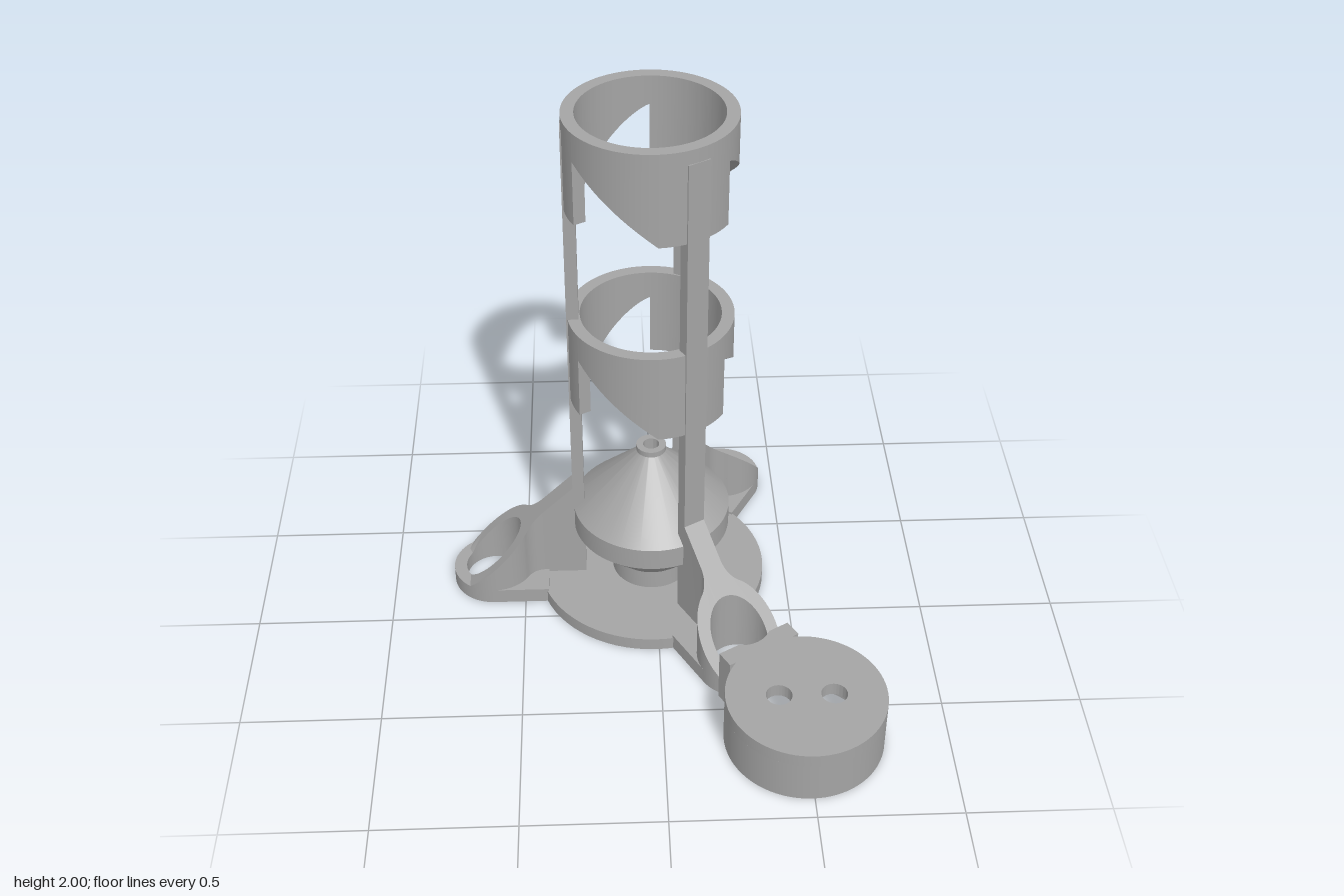
import * as THREE from 'three';
import { toCreasedNormals } from 'three/addons/utils/BufferGeometryUtils.js';

const grey = new THREE.MeshStandardMaterial({ color: 0xa4a4a4 });
grey.name = 'plain grey';
const DEG = Math.PI / 180;

function part(name, geometry) {
  const mesh = new THREE.Mesh(toCreasedNormals(geometry, 0.5), grey);
  mesh.name = name;
  return mesh;
}

function circle(x, y, r) {
  return new THREE.Path().absarc(x, y, r, 0, Math.PI * 2, true);
}

// Extrudes a plan outline straight up from y0 to y1
function slab(shape, y0, y1) {
  const g = new THREE.ExtrudeGeometry(shape, { depth: y1 - y0, bevelEnabled: false, curveSegments: 40 });
  return g.rotateX(-Math.PI / 2).translate(0, y0, 0);
}

function lathe(points) {
  return new THREE.LatheGeometry(points.map(([r, y]) => new THREE.Vector2(r, y)), 72);
}

// Curved wall between two angles, with its lower edge given by a rule
function arcWall(from, to, top, bottomAt) {
  const g = new THREE.BoxGeometry(1, 1, 1, 24, 1, 1);
  const p = g.attributes.position;
  for (let i = 0; i < p.count; i++) {
    const t = p.getX(i) + 0.5;
    const a = (from + (to - from) * t) * DEG;
    const r = p.getZ(i) > 0 ? 0.2925 : 0.248;
    p.setXYZ(i, Math.sin(a) * r, p.getY(i) > 0 ? top : bottomAt(t), Math.cos(a) * r);
  }
  return g;
}

// Collar with three ramped slots cut from below
function collar(name, top) {
  const group = new THREE.Group();
  group.name = name;
  for (const post of [-90, 30, 150]) {
    group.add(part('collarTab', arcWall(post - 27, post + 28.7, top, () => top - 0.34)));
    group.add(part('collarRamp', arcWall(post + 28.7, post + 93, top,
      t => top - 0.105 - 0.235 * Math.pow(t, 1.2))));
  }
  return group;
}

// Leg pointing along local +x: foot plate, sloped socket with rib, tall post
function leg(name) {
  const group = new THREE.Group();
  group.name = name;

  const foot = new THREE.Shape();
  foot.moveTo(0.395, -0.155);
  foot.lineTo(0.605, -0.155);
  foot.absarc(0.605, 0, 0.155, -Math.PI / 2, Math.PI / 2, false);
  foot.lineTo(0.395, 0.155);
  foot.holes.push(circle(0.605, 0, 0.108));
  group.add(part('footPlate', slab(foot, 0, 0.06)));

  const rib = new THREE.Shape();
  rib.moveTo(0.28, -0.042);
  rib.lineTo(0.41, -0.042);
  rib.quadraticCurveTo(0.455, -0.045, 0.478, -0.089);
  rib.absarc(0.605, 0, 0.155, -2.53, 2.53, false);
  rib.quadraticCurveTo(0.455, 0.045, 0.41, 0.042);
  rib.lineTo(0.28, 0.042);
  rib.holes.push(circle(0.605, 0, 0.108));
  const g = slab(rib, 0.01, 1);
  const p = g.attributes.position;
  for (let i = 0; i < p.count; i++) {
    if (p.getY(i) > 0.5) p.setY(i, Math.max(0.02, 0.755 - p.getX(i)));
  }
  group.add(part('slopedSocket', g));

  const post = new THREE.BoxGeometry(0.043, 1.91, 0.084).translate(0.2735, 0.995, 0);
  group.add(part('post', post));
  return group;
}

export function createModel() {
  const model = new THREE.Group();
  model.name = 'model';
  const tower = new THREE.Group();
  tower.name = 'tower';
  tower.position.set(-0.015, 0, -0.24);
  model.add(tower);

  // Base disc with threaded opening
  tower.add(part('baseDisc', lathe([[0.1, 0], [0.43, 0], [0.43, 0.05], [0.1, 0.05], [0.1, 0]])));
  for (const y of [0.02, 0.05, 0.08]) {
    tower.add(part('threadRidge', new THREE.TorusGeometry(0.1, 0.012, 6, 48).rotateX(Math.PI / 2).translate(0, y, 0)));
  }

  // Hollow double cone with nozzle
  tower.add(part('funnel', lathe([
    [0.1, 0.04], [0.148, 0.04], [0.148, 0.127], [0.2925, 0.275], [0.2925, 0.363], [0.047, 0.605],
    [0.055, 0.61], [0.055, 0.632], [0.03, 0.632], [0.03, 0.57], [0.25, 0.35], [0.25, 0.29],
    [0.1, 0.14], [0.1, 0.04],
  ])));

  // Three legs
  [['sideLeg', 180], ['backLeg', 60], ['frontLeg', -60]].forEach(([name, angle]) => {
    const l = leg(name);
    l.rotation.y = angle * DEG;
    tower.add(l);
    if (name !== 'frontLeg') return;
    // Bar joining the front foot to the cup, notched around the socket hole
    const bar = new THREE.Shape();
    const half = Math.acos(0.085 / 0.108);
    bar.moveTo(0.69, -0.147);
    bar.lineTo(0.757, -0.147);
    bar.lineTo(0.757, 0.147);
    bar.lineTo(0.69, 0.147);
    bar.absarc(0.605, 0, 0.108, half, -half, true);
    l.add(part('joiningBar', slab(bar, 0, 0.21)));
  });

  tower.add(collar('upperCollar', 2));
  tower.add(collar('lowerCollar', 1.22));

  // Round cup, open below, with two holes in its lid
  const cup = new THREE.Group();
  cup.name = 'cup';
  cup.position.set(0.49, 0, 0.637);
  const lid = new THREE.Shape().absarc(0, 0, 0.282, 0, Math.PI * 2, false);
  lid.holes.push(circle(-0.095, 0, 0.046), circle(0.097, 0, 0.046));
  cup.add(part('cupLid', slab(lid, 0.16, 0.21)));
  cup.add(part('cupWall', lathe([
    [0.235, 0], [0.282, 0], [0.282, 0.16], [0.2, 0.16], [0.2, 0.1], [0.235, 0.08],
    [0.235, 0.06], [0.215, 0.05], [0.215, 0.035], [0.235, 0.025], [0.235, 0],
  ])));
  model.add(cup);
  return model;
}
